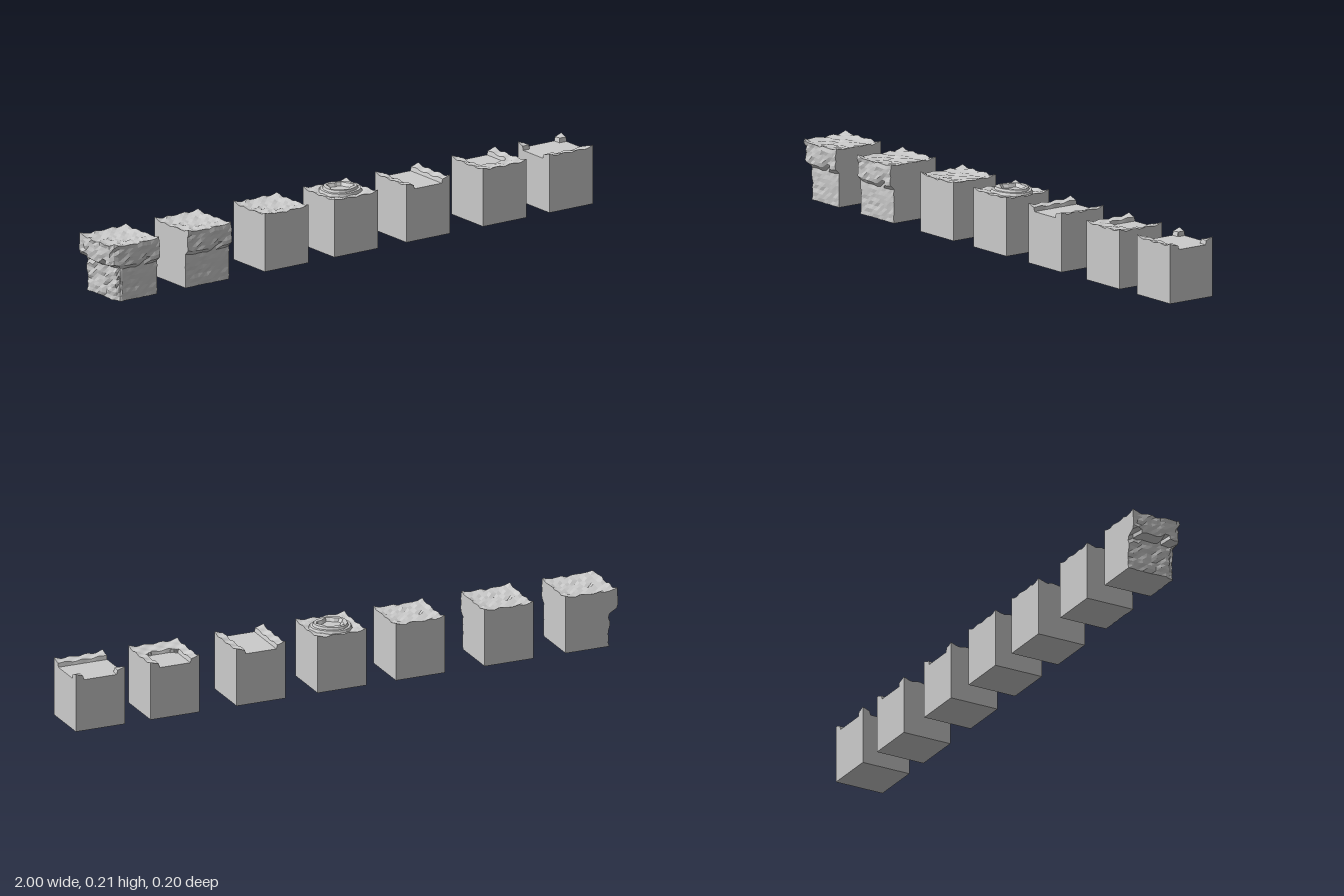
import * as THREE from 'three';

const SIZE = 0.18, HALF = 0.09, MIDZ = -0.008;
const material = new THREE.MeshStandardMaterial({ color: 0xcccccc, flatShading: true });

// Repeatable value in -1..1 for a position
function noise(x, y, z) {
  const k = (n) => Math.round(n * 1000);
  const s = Math.sin(k(x) * 12.9898 + k(y) * 78.233 + k(z) * 37.719) * 43758.5453;
  return (s - Math.floor(s)) * 2 - 1;
}
const clamp01 = (n) => Math.min(1, Math.max(0, n));

// Wavy ground whose corners rise and whose edges dip, u and v in -1..1
function ground(u, v) {
  return 0.193 + 0.005 * (u ** 4 + v ** 4)
    + 0.0025 * Math.cos(3 * Math.PI * u) * Math.cos(3 * Math.PI * v);
}

// A cube with a shaped top; options: bumps, sunken(x, z), frontCliff, leftCliff
function tile(name, x, { segments = 10, rows = 1, bumps = 0, sunken, frontCliff, sideCliff }) {
  const geo = new THREE.BoxGeometry(SIZE, 1, SIZE, segments, rows, segments);
  const p = geo.attributes.position;
  for (let i = 0; i < p.count; i++) {
    let px = p.getX(i), pz = p.getZ(i);
    const t = p.getY(i) + 0.5;
    const u = px / HALF, v = pz / HALF;
    let h = ground(u, v) + bumps * noise(px, 0, pz);
    if (sunken && sunken(px, pz)) h = 0.182;
    const lip = t > 0.62 + 0.025 * Math.sin(u * 7 + v * 5);
    const rough = noise(px, t, pz);
    // Round the outer corner where two cliffs meet
    if (frontCliff && sideCliff) {
      const r = 0.035, dx = px + HALF - r, dz = pz - HALF + r;
      const d = Math.hypot(dx, dz);
      if (dx < 0 && dz > 0 && d > r) {
        px += dx * (r / d - 1);
        pz += dz * (r / d - 1);
      }
    }
    // Overhanging lip above a rough, recessed wall
    if (frontCliff) pz += clamp01((v - 0.6) / 0.4) * (lip ? 0.012 + 0.004 * rough : -0.002 + 0.002 * rough);
    if (sideCliff) px -= clamp01((-u - 0.6) / 0.4) * (lip ? 0.011 + 0.004 * rough : -0.02 + 0.004 * rough);
    p.setXYZ(i, px, t * h, pz);
  }
  geo.computeVertexNormals();
  const mesh = new THREE.Mesh(geo, material);
  mesh.name = name;
  mesh.position.set(x, 0, MIDZ);
  return mesh;
}

// Irregular raised ring with a pit in the middle
function craterRing() {
  const profile = [
    [0.076, 0.193], [0.071, 0.203], [0.062, 0.204], [0.058, 0.212],
    [0.045, 0.212], [0.037, 0.2], [0, 0.2],
  ].map(([r, y]) => new THREE.Vector2(r, y));
  const geo = new THREE.LatheGeometry(profile, 18);
  const p = geo.attributes.position;
  for (let i = 0; i < p.count; i++) {
    const x = p.getX(i), z = p.getZ(i), a = Math.atan2(z, x), r = Math.hypot(x, z);
    const inner = r < 0.05 ? 0.14 * Math.sin(5 * a) : 0;
    const k = 0.96 + 0.05 * Math.sin(3 * a + 1) + 0.03 * Math.cos(2 * a) + inner;
    p.setX(i, x * k);
    p.setZ(i, z * k);
  }
  geo.computeVertexNormals();
  const mesh = new THREE.Mesh(geo, material);
  mesh.name = 'craterRing';
  mesh.position.set(0.02, 0, -0.013);
  return mesh;
}

export function createModel() {
  const model = new THREE.Group();
  model.name = 'terrainTiles';

  // Channel outlines, in each tile's own x and z
  const straight = (x) => Math.abs(x) < 0.057;
  const deadEnd = (x, z) => Math.abs(x) < 0.059 &&
    (z < -0.005 || Math.abs(x / 0.059) ** 3 + Math.abs((z + 0.005) / 0.034) ** 3 < 1);
  const junction = (x, z) => (z > -0.061 && z < 0.054) || (z <= -0.061 && Math.abs(x) < 0.06);

  model.add(
    tile('cornerCliff', -0.895, { rows: 14, bumps: 0.002, frontCliff: true, sideCliff: true }),
    tile('cliff', -0.597, { rows: 14, bumps: 0.002, frontCliff: true }),
    tile('plainGround', -0.27, { bumps: 0.002 }),
    tile('craterGround', 0.018, { segments: 16 }),
    craterRing(),
    tile('straightChannel', 0.316, { segments: 48, sunken: straight }),
    tile('channelEnd', 0.633, { segments: 48, sunken: deadEnd }),
    tile('channelJunction', 0.908, { segments: 48, sunken: junction }),
  );
  return model;
}
